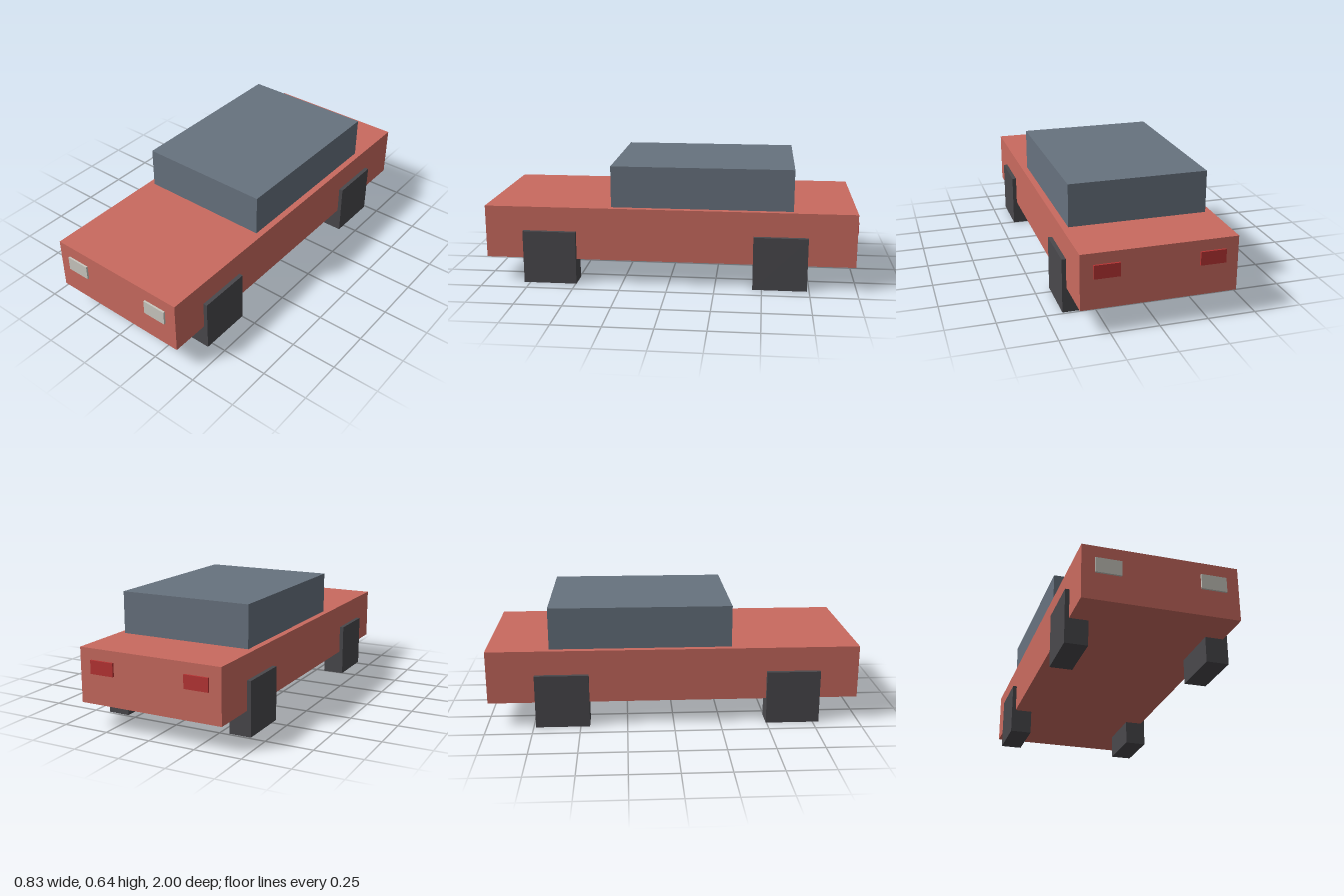
import * as THREE from 'three';

const material = (name, color) => {
  const m = new THREE.MeshStandardMaterial({ color });
  m.name = name;
  return m;
};

export function createModel() {
  const car = new THREE.Group();
  car.name = 'car';

  const paint = material('red paint', 0xc96a5f);
  const glass = material('slate cabin', 0x67727e);
  const rubber = material('dark rubber', 0x49484c);
  const lamp = material('pale lamp', 0xc9c7bf);
  const tail = material('tail red', 0xb83434);

  // Box given by its extents along each axis
  const box = (name, mat, [x0, x1], [y0, y1], [z0, z1]) => {
    const mesh = new THREE.Mesh(new THREE.BoxGeometry(x1 - x0, y1 - y0, z1 - z0), mat);
    mesh.position.set((x0 + x1) / 2, (y0 + y1) / 2, (z0 + z1) / 2);
    mesh.name = name;
    car.add(mesh);
  };

  box('body', paint, [-0.395, 0.395], [0.133, 0.418], [-0.99, 0.99]);
  box('cabin', glass, [-0.361, 0.361], [0.418, 0.64], [-0.658, 0.309]);

  // Wheels and lights, mirrored left and right
  for (const [side, s] of [['left', 1], ['right', -1]]) {
    const span = (a, b) => (s > 0 ? [a, b] : [-b, -a]);
    box(`${side}FrontWheel`, rubber, span(0.3, 0.417), [0, 0.287], [0.496, 0.783]);
    box(`${side}RearWheel`, rubber, span(0.3, 0.417), [0, 0.287], [-0.738, -0.451]);
    box(`${side}Headlight`, lamp, span(0.199, 0.33), [0.274, 0.352], [0.98, 1]);
    box(`${side}TailLight`, tail, span(0.199, 0.33), [0.29, 0.36], [-1, -0.98]);
  }

  return car;
}
